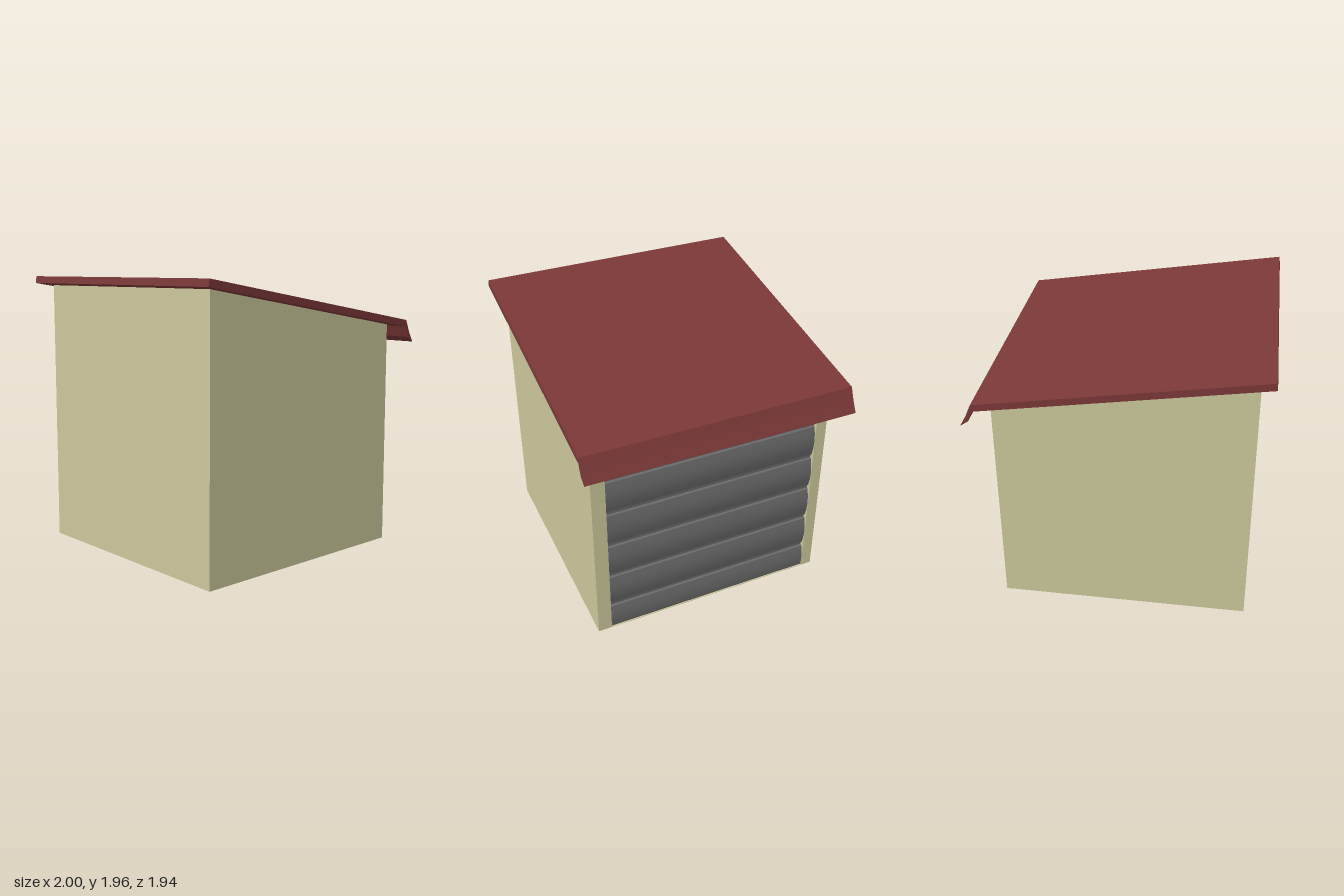
import * as THREE from 'three';
import { toCreasedNormals } from 'three/addons/utils/BufferGeometryUtils.js';

const material = (name, color) => {
  const m = new THREE.MeshStandardMaterial({ color });
  m.name = name;
  return m;
};

export function createModel() {
  const cream = material('creamWall', 0xcbc79b);
  const red = material('redRoof', 0x7b3838);
  const grey = material('greyDoor', 0x686868);
  const group = new THREE.Group();

  // extrude an x/y outline between two z positions
  const add = (name, points, z0, z1, mat, crease = 0.2) => {
    const shape = new THREE.Shape(points.map(([x, y]) => new THREE.Vector2(x, y)));
    let geo = new THREE.ExtrudeGeometry(shape, { depth: z1 - z0, bevelEnabled: false });
    geo.translate(0, 0, z0);
    geo = toCreasedNormals(geo, crease);
    const mesh = new THREE.Mesh(geo, mat);
    mesh.name = name;
    group.add(mesh);
  };

  const wallTop = (x) => 1.752 - 0.1645 * x;          // sloping top edge under the roof
  const wallFront = (y) => 0.828 - 0.007 * y;         // slightly leaning door side
  const inner = 0.76;                                 // plane behind the door
  const half = 0.875, doorMin = -0.795, doorMax = 0.775, doorTop = 1.53;

  // walls
  add('walls', [[-0.915, 0], [inner, 0], [inner, wallTop(inner)], [-0.905, wallTop(-0.905)]],
    -half, half, cream);

  // door frame
  const jamb = [[inner, 0], [wallFront(0), 0], [0.817, wallTop(0.817)], [inner, wallTop(inner)]];
  add('rightJamb', jamb, doorMax, half, cream);
  add('leftJamb', jamb, -half, doorMin, cream);
  add('lintel', [[inner, doorTop], [wallFront(doorTop), doorTop], [0.817, wallTop(0.817)], [inner, wallTop(inner)]],
    doorMin, doorMax, cream);
  add('sill', [[inner, 0], [wallFront(0), 0], [wallFront(0), 0.004], [inner, 0.004]],
    doorMin, doorMax, cream);

  // sectional door: gently bulging slats with a groove between them
  const profile = [[inner, 0.004]];
  const pitch = 0.277, steps = 8;
  for (let i = 0; i < 6; i++) {
    const start = i === 0 ? 0.004 : 0.22 + (i - 1) * pitch;
    const end = Math.min(0.18 + i * pitch, doorTop);
    for (let s = 0; s <= steps; s++) {
      const y = start + (end - start) * s / steps;
      const t = (y - (0.22 + (i - 1) * pitch)) / (pitch - 0.04);
      profile.push([wallFront(y) - 0.022 + 0.018 * Math.sin(Math.PI * t), y]);
    }
    if (i < 5) {
      profile.push([wallFront(end) - 0.035, end + 0.008]);
      profile.push([wallFront(end) - 0.035, end + 0.032]);
    }
  }
  profile.push([inner, doorTop]);
  add('door', profile, doorMin, doorMax, grey, 0.6);

  // sloping roof slab with a turned-down eave
  add('roof', [[-1, 1.91], [0.913, 1.597], [0.945, 1.52], [1, 1.483], [0.957, 1.56],
    [0.92, 1.645], [-0.993, 1.96]], -0.97, 0.97, red);

  return group;
}
